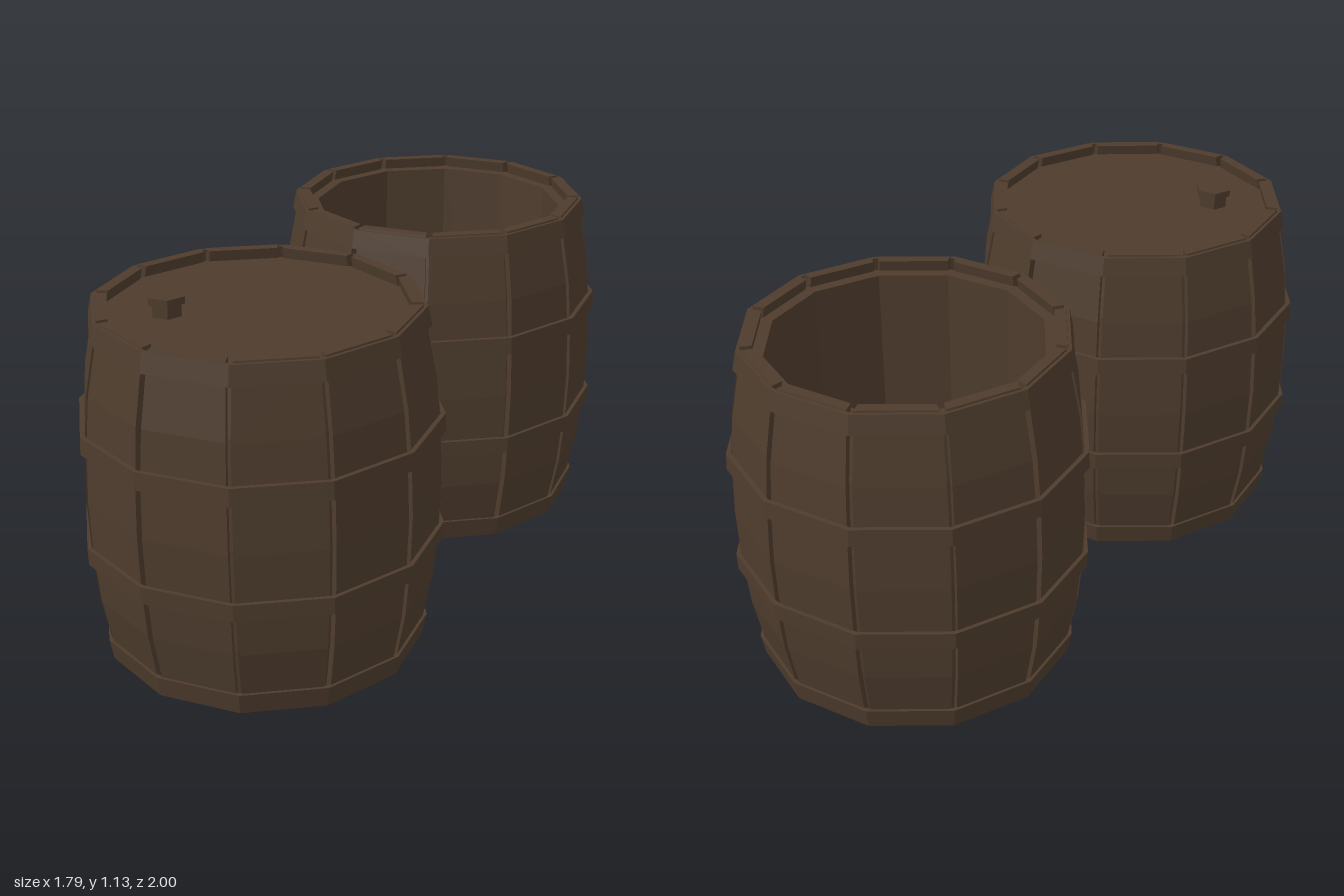
import * as THREE from 'three';

const SIDES = 12;
const HALF = Math.PI / SIDES;
const H = 1.1;

// Belly curve of the staves: [height, distance from axis to the flat]
const BELLY = [[0, 0.465], [0.22, 0.506], [0.38, 0.52], [0.55, 0.526], [0.72, 0.52], [0.88, 0.506], [H, 0.465]];

function faceted(geometry) {
  const g = geometry.index ? geometry.toNonIndexed() : geometry;
  g.computeVertexNormals();
  return g;
}

// Twelve-sided turned solid from [flat distance, height] pairs
function turned(profile) {
  const pts = profile.map(([a, y]) => new THREE.Vector2(a / Math.cos(HALF), y));
  return faceted(new THREE.LatheGeometry(pts, SIDES, HALF));
}

// One curved plank facing +z, slightly narrower than its side of the barrel
function staveGeometry() {
  const pos = [], idx = [], gap = 0.01, thick = 0.034;
  for (const [y, a] of BELLY) {
    const wo = a * Math.tan(HALF) - gap;
    const b = a - thick;
    const wi = b * Math.tan(HALF) - gap;
    pos.push(-wo, y, a, wo, y, a, wi, y, b, -wi, y, b);
  }
  const quad = (a, b, c, d) => idx.push(a, b, c, a, c, d);
  for (let i = 0; i < BELLY.length - 1; i++) {
    for (let k = 0; k < 4; k++) {
      const n = (k + 1) % 4;
      quad(i * 4 + k, i * 4 + n, i * 4 + 4 + n, i * 4 + 4 + k);
    }
  }
  const t = (BELLY.length - 1) * 4;
  quad(t, t + 1, t + 2, t + 3);
  quad(3, 2, 1, 0);
  const g = new THREE.BufferGeometry();
  g.setAttribute('position', new THREE.Float32BufferAttribute(pos, 3));
  g.setIndex(idx);
  return faceted(g);
}

// Closed band: lower and upper height with the outer distance at each
function hoopGeometry(y0, a0, y1, a1) {
  const t = 0.014;
  return turned([[a0 - t, y0], [a0, y0], [a1, y1], [a1 - t, y1], [a0 - t, y0]]);
}

export function createModel() {
  const wood = new THREE.MeshStandardMaterial({ color: 0x4e3c2d });
  wood.name = 'dark brown wood';

  const root = new THREE.Group();
  root.name = 'barrels';

  const add = (parent, geometry, name) => {
    const mesh = new THREE.Mesh(geometry, wood);
    mesh.name = name;
    parent.add(mesh);
    return mesh;
  };

  const stave = staveGeometry();
  const hoops = [
    ['bottomHoop', hoopGeometry(0.008, 0.476, 0.075, 0.488)],
    ['lowerHoop', hoopGeometry(0.345, 0.531, 0.4, 0.533)],
    ['upperHoop', hoopGeometry(0.705, 0.533, 0.76, 0.531)],
    ['topHoop', hoopGeometry(1.035, 0.488, 1.094, 0.476)],
  ];

  // Inner wall seen through the gaps between staves, with recessed ends
  const outside = [[0, 0.025], [0.442, 0.025],
    ...BELLY.slice(1, -1).map(([y, a]) => [a - 0.028, y]), [0.442, 1.065]];
  const closedCore = turned([...outside, [0, 1.065]]);
  const openCore = turned([...outside, [0.402, 1.065], [0.398, 0.06], [0, 0.06]]);

  function barrel(name, x, z, core) {
    const g = new THREE.Group();
    g.name = name;
    g.position.set(x, 0, z);
    for (let i = 0; i < SIDES; i++) add(g, stave, 'stave').rotation.y = i * 2 * HALF;
    for (const [hoopName, geometry] of hoops) add(g, geometry, hoopName);
    add(g, core, 'innerWall');
    root.add(g);
    return g;
  }

  const closed = barrel('closedBarrel', -0.362, 0.467, closedCore);
  barrel('openBarrel', 0.36, -0.467, openCore);

  // Six-sided stopper in the lid
  const stopper = new THREE.Group();
  stopper.name = 'stopper';
  stopper.position.set(-0.263, 0, 0);
  closed.add(stopper);
  add(stopper, faceted(new THREE.CylinderGeometry(0.048, 0.048, 0.055, 6)), 'stopperStem').position.y = 1.085;
  add(stopper, faceted(new THREE.CylinderGeometry(0.06, 0.06, 0.022, 6)), 'stopperCap').position.y = 1.116;

  return root;
}
